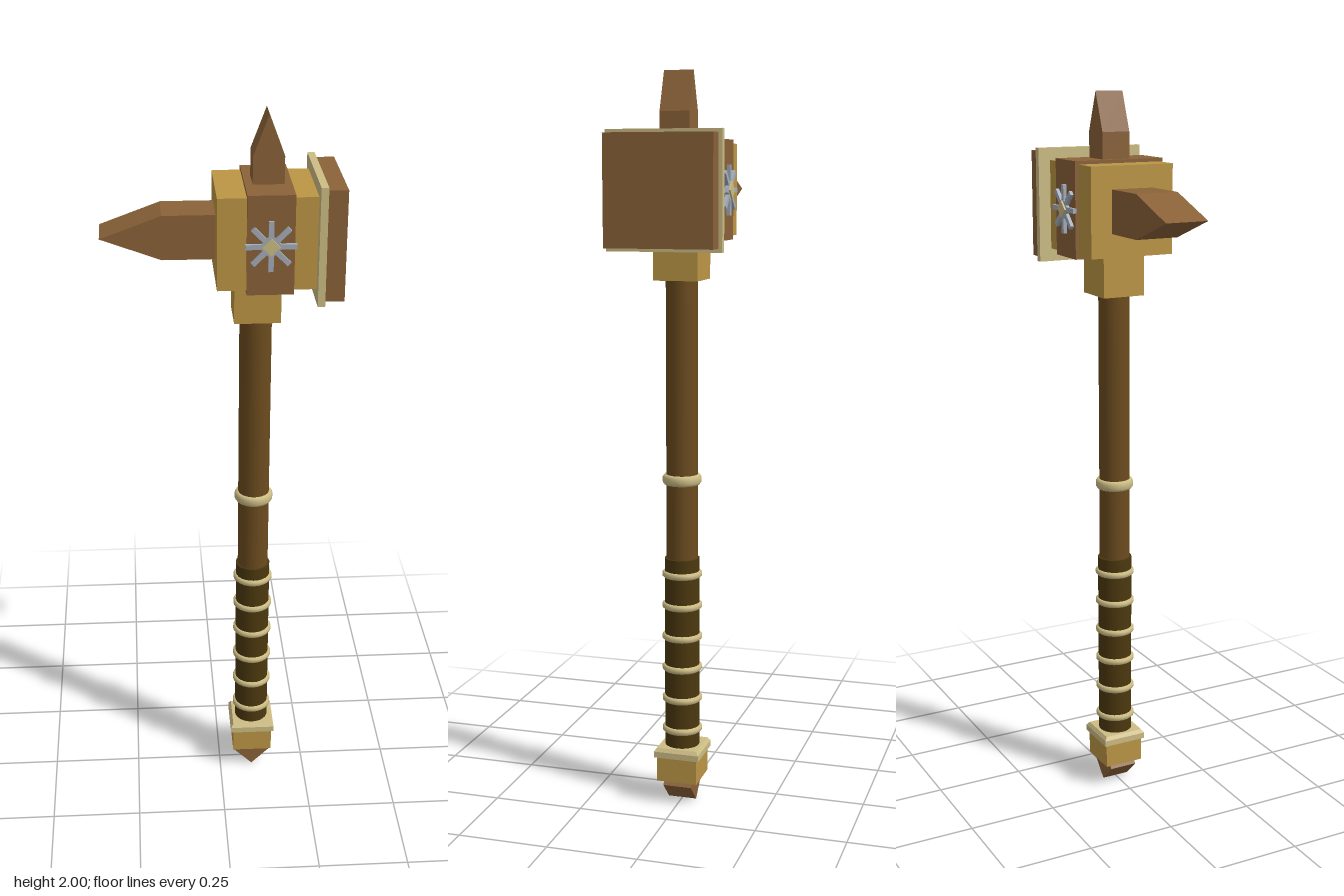
import * as THREE from 'three';

const paint = (name, color) => {
  const m = new THREE.MeshStandardMaterial({ color });
  m.name = name;
  return m;
};

export function createModel() {
  const brown = paint('brown wood', 0x8a6239);
  const gold = paint('gold', 0xbc9645);
  const tan = paint('pale trim', 0xcdbd85);
  const steel = paint('steel', 0xa4aebb);
  const shaftBrown = paint('shaft wood', 0x6b4b1e);
  const gripBrown = paint('dark grip', 0x4c380e);

  const root = new THREE.Group();
  root.name = 'warHammer';
  const HX = 0.095; // handle axis
  const BX = 0.12;  // head band axis

  const add = (name, geometry, material, x = 0, y = 0, z = 0, parent = root) => {
    const mesh = new THREE.Mesh(geometry, material);
    mesh.name = name;
    mesh.position.set(x, y, z);
    parent.add(mesh);
    return mesh;
  };
  // Box given by its limits in x and y, and its half depth
  const block = (name, material, x0, x1, y0, y1, hz) =>
    add(name, new THREE.BoxGeometry(x1 - x0, y1 - y0, hz * 2), material, (x0 + x1) / 2, (y0 + y1) / 2);
  // Outline in x and y extruded evenly to both sides of z = 0
  const slab = (name, material, points, hz) => {
    const shape = new THREE.Shape(points.map(([x, y]) => new THREE.Vector2(x, y)));
    const geometry = new THREE.ExtrudeGeometry(shape, { depth: hz * 2, bevelEnabled: false });
    return add(name, geometry, material, 0, 0, -hz);
  };
  // Round trim with bevelled rims
  const ring = (name, y, r, h) => {
    const profile = [[0.04, -h / 2], [r - 0.005, -h / 2], [r, -h / 4], [r, h / 4], [r - 0.005, h / 2], [0.04, h / 2]];
    const geometry = new THREE.LatheGeometry(profile.map(([a, b]) => new THREE.Vector2(a, b)), 24);
    add(name, geometry, tan, HX, y);
  };

  // Pommel: wedge, square cap and flared collar
  const wedge = add('pommelWedge', new THREE.BoxGeometry(0.075, 0.075, 0.08), brown, HX, 0.053);
  wedge.rotation.z = Math.PI / 4;
  block('pommelCap', gold, HX - 0.057, HX + 0.057, 0.066, 0.138, 0.057);
  block('pommelCollar', tan, HX - 0.064, HX + 0.064, 0.136, 0.153, 0.064);
  const taper = new THREE.CylinderGeometry(0.057 * Math.SQRT2, 0.064 * Math.SQRT2, 0.01, 4, 1).rotateY(Math.PI / 4).toNonIndexed();
  taper.computeVertexNormals();
  add('pommelCollarBevel', taper, tan, HX, 0.158);

  // Handle
  add('grip', new THREE.CylinderGeometry(0.048, 0.048, 0.55, 24), gripBrown, HX, 0.425);
  add('shaft', new THREE.CylinderGeometry(0.043, 0.043, 0.8, 24), shaftBrown, HX, 1.08);
  for (let i = 0; i < 6; i++) ring('gripRing', 0.21 + i * 0.089, 0.055, 0.018);
  ring('shaftRing', 0.92, 0.053, 0.028);

  // Head
  block('neck', gold, HX - 0.061, HX + 0.061, 1.46, 1.58, 0.061);
  block('headCore', gold, -0.014, 0.24, 1.575, 1.815, 0.121);
  block('headBand', brown, 0.06, 0.18, 1.566, 1.824, 0.131);
  block('facePlate', tan, 0.238, 0.257, 1.54, 1.848, 0.155);
  block('strikingFace', brown, 0.257, 0.307, 1.55, 1.838, 0.145);

  // Spikes
  slab('backSpike', brown, [[0, 1.638], [0, 1.754], [-0.15, 1.754], [-0.307, 1.696], [-0.15, 1.638]], 0.06);
  slab('topSpike', brown, [[0.08, 1.81], [0.16, 1.81], [0.16, 1.895], [0.12, 2], [0.08, 1.895]], 0.04);

  // Eight-rayed emblem on both sides of the band
  for (const side of [1, -1]) {
    const emblem = new THREE.Group();
    emblem.name = side > 0 ? 'frontEmblem' : 'backEmblem';
    emblem.position.set(BX, 1.695, side * 0.135);
    root.add(emblem);
    for (let i = 0; i < 8; i++) {
      const a = (i * Math.PI) / 4;
      const ray = add('emblemRay', new THREE.BoxGeometry(0.043, 0.013, 0.011), steel,
        Math.cos(a) * 0.0435, Math.sin(a) * 0.0435, 0, emblem);
      ray.rotation.z = a;
    }
    const core = add('emblemCore', new THREE.BoxGeometry(0.044, 0.044, 0.011), steel, 0, 0, 0, emblem);
    const gem = add('emblemGem', new THREE.BoxGeometry(0.032, 0.032, 0.009), tan, 0, 0, side * 0.0055, emblem);
    core.rotation.z = gem.rotation.z = Math.PI / 4;
  }
  return root;
}
